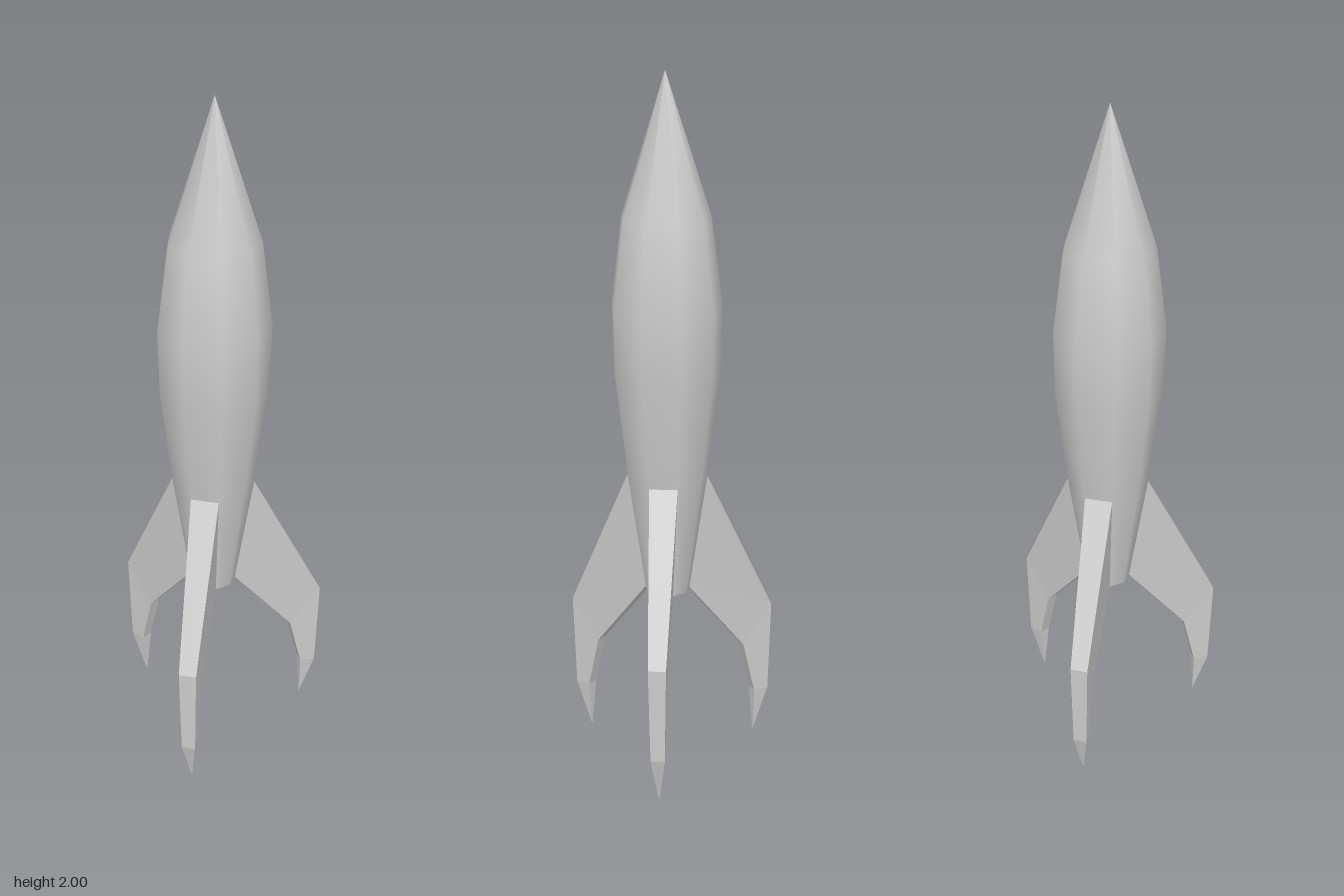
import * as THREE from 'three';

const SIDES = 9;
const deg = THREE.MathUtils.degToRad;

// Fin outline, clockwise from the top of the root: radius, height, half thickness
const FIN = [
  [0.108, 0.87, 0.040],
  [0.335, 0.42, 0.025],
  [0.329, 0.14, 0.020],
  [0.289, 0.00, 0.002],
  [0.284, 0.14, 0.018],
  [0.245, 0.30, 0.018],
  [0.061, 0.525, 0.022],
];
const FIN_SIDE = [[0, 1, 6], [1, 5, 6], [1, 2, 5], [2, 4, 5], [2, 3, 4]];

function finGeometry() {
  const pos = [];
  const point = (i, s) => [FIN[i][0], FIN[i][1], s * FIN[i][2]];
  const tri = (a, b, c) => pos.push(...a, ...b, ...c);
  // the two broad sides
  for (const [a, b, c] of FIN_SIDE) {
    tri(point(a, 1), point(c, 1), point(b, 1));
    tri(point(a, -1), point(b, -1), point(c, -1));
  }
  // the rim between them
  for (let i = 0; i < FIN.length; i++) {
    const j = (i + 1) % FIN.length;
    tri(point(i, 1), point(j, 1), point(j, -1));
    tri(point(i, 1), point(j, -1), point(i, -1));
  }
  const geo = new THREE.BufferGeometry();
  geo.setAttribute('position', new THREE.Float32BufferAttribute(pos, 3));
  geo.computeVertexNormals();
  return geo;
}

export function createModel() {
  const rocket = new THREE.Group();
  rocket.name = 'rocket';
  const smooth = new THREE.MeshStandardMaterial({ color: 0xcccccc });
  const flat = new THREE.MeshStandardMaterial({ color: 0xcccccc, flatShading: true });

  // Nine-sided hull, smoothly shaded, widest above its middle
  const profile = [
    [0.065, 0.525], [0.117, 0.87], [0.153, 1.17],
    [0.157, 1.37], [0.126, 1.61], [0, 2],
  ].map(([r, y]) => new THREE.Vector2(r, y));
  const hull = new THREE.Mesh(new THREE.LatheGeometry(profile, SIDES, deg(16.5)), smooth);
  hull.name = 'hull';
  rocket.add(hull);

  // Flat underside of the hull
  const base = new THREE.Mesh(new THREE.CircleGeometry(0.065, SIDES, deg(6.5)), flat);
  base.name = 'hullBase';
  base.rotation.x = Math.PI / 2;
  base.rotation.z = deg(-13);
  base.position.y = 0.525;
  rocket.add(base);

  // Three landing fins, each growing out of one hull facet
  const geo = finGeometry();
  for (let i = 0; i < 3; i++) {
    const fin = new THREE.Mesh(geo, flat);
    fin.name = 'fin' + (i + 1);
    fin.rotation.y = -deg(53.5 + 120 * i);
    rocket.add(fin);
  }

  // The hull axis sits off-centre because the three fins spread unevenly
  rocket.position.set(0.055, 0, 0.016);
  const model = new THREE.Group();
  model.name = 'model';
  model.add(rocket);
  return model;
}
